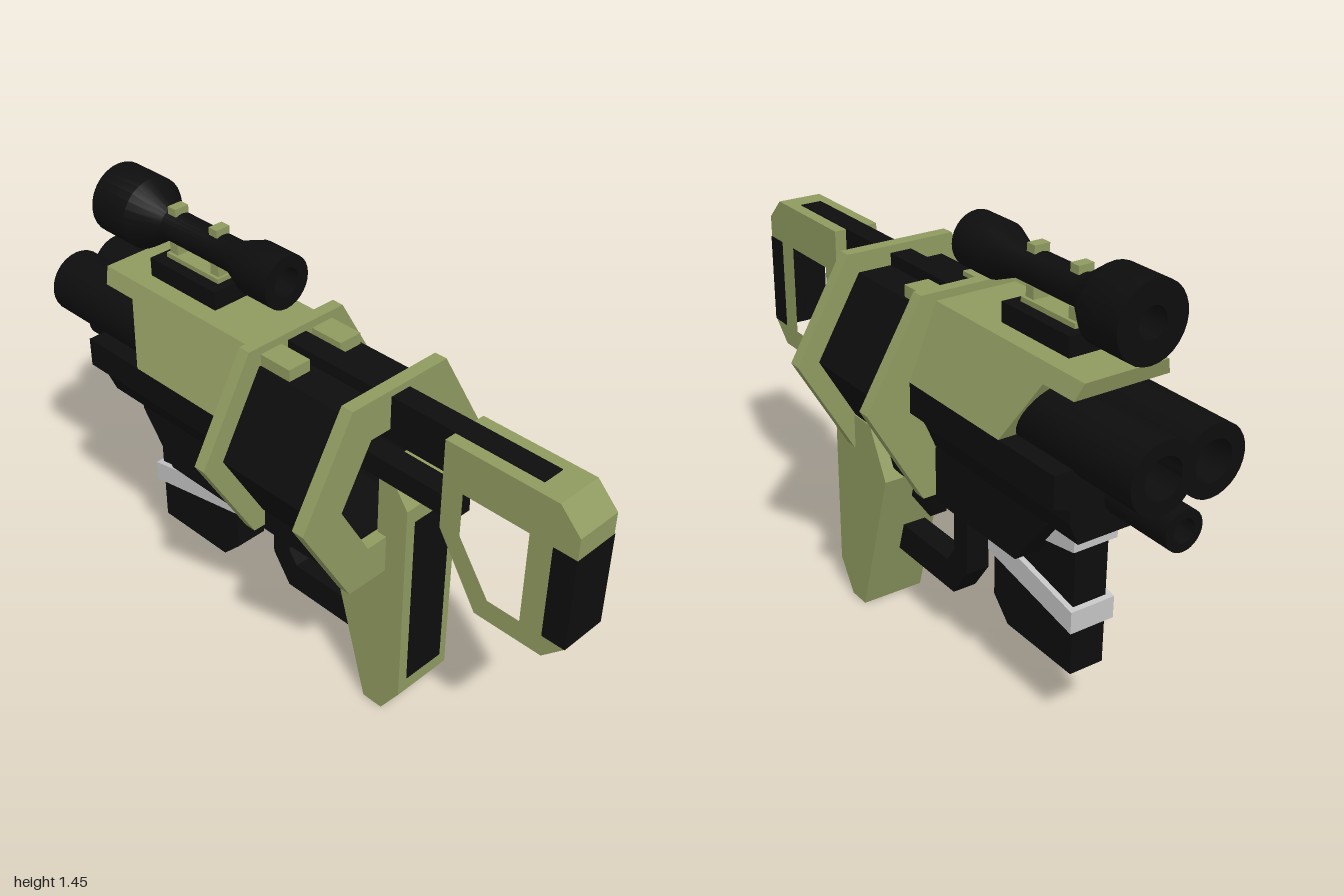
import * as THREE from 'three';
import { toCreasedNormals } from 'three/addons/utils/BufferGeometryUtils.js';

export function createModel() {
  const model = new THREE.Group();
  const material = (name, color) => {
    const m = new THREE.MeshStandardMaterial({ color });
    m.name = name;
    return m;
  };
  const olive = material('olive', 0x8f9a60);
  const black = material('black', 0x0d0d0d);
  const silver = material('silver', 0xc4c4c4);

  const add = (name, geometry, mat) => {
    const mesh = new THREE.Mesh(geometry, mat);
    mesh.name = name;
    model.add(mesh);
    return mesh;
  };
  // Box given by its lower and upper limits on each axis
  const box = (name, mat, x0, x1, y0, y1, z0, z1) =>
    add(name, new THREE.BoxGeometry(x1 - x0, y1 - y0, z1 - z0)
      .translate((x0 + x1) / 2, (y0 + y1) / 2, (z0 + z1) / 2), mat);

  const extrude = (points, depth, hole) => {
    const toVec = (list) => list.map(([a, b]) => new THREE.Vector2(a, b));
    const shape = new THREE.Shape(toVec(points));
    if (hole) shape.holes.push(new THREE.Path(toVec(hole)));
    return new THREE.ExtrudeGeometry(shape, { depth, bevelEnabled: false });
  };
  // Side outline in [z, y], extruded from x0 to x1
  const sideShape = (points, x0, x1, hole) => {
    const flip = (list) => list && list.map(([z, y]) => [-z, y]);
    return extrude(flip(points), x1 - x0, flip(hole)).rotateY(Math.PI / 2).translate(x0, 0, 0);
  };
  // Closed tube wall turned around the z axis, profile in [radius, z]
  const turned = (points, x, y) => {
    const pts = points.map(([r, z]) => new THREE.Vector2(r, z));
    const g = new THREE.LatheGeometry(pts, 28).rotateX(Math.PI / 2).translate(x, y, 0);
    return toCreasedNormals(g, 0.6);
  };
  const hexagon = (r) => Array.from({ length: 6 }, (_, i) =>
    [r * Math.cos(i * Math.PI / 3), 0.887 + r * Math.sin(i * Math.PI / 3)]);

  // Shoulder stock with its pad and inlays
  add('stock', sideShape(
    [[1, 0.74], [1, 1.11], [0.93, 1.18], [0.56, 1.18], [0.56, 0.89], [0.7, 0.67], [0.93, 0.67]],
    -0.075, 0.075,
    [[0.85, 1.04], [0.63, 1.04], [0.63, 0.9], [0.74, 0.74], [0.85, 0.74]]), olive);
  box('stockPad', black, -0.077, 0.077, 0.74, 1.04, 0.925, 1.001);
  box('stockInnerInlay', black, -0.04, 0.04, 0.78, 1.0, 0.847, 0.852);
  box('stockTopInlay', black, -0.036, 0.036, 1.175, 1.183, 0.33, 0.85);
  box('upperBar', black, -0.036, 0.036, 1.04, 1.181, -0.1, 0.56);
  box('lowerBar', black, -0.036, 0.036, 0.89, 0.96, 0.1, 0.57);

  // Hollow six-sided drum between two flanges
  for (const [name, z0, z1, r, mat] of [
    ['rearFlange', 0.293, 0.335, 0.367, olive],
    ['drum', -0.066, 0.294, 0.295, black],
    ['frontFlange', -0.105, -0.065, 0.367, olive],
  ]) add(name, extrude(hexagon(r), z1 - z0, hexagon(0.22)).translate(0, 0, z0), mat);

  // Top cover, narrowing upward
  const cover = sideShape(
    [[-0.1, 0.955], [-0.1, 1.18], [-0.76, 1.18], [-0.745, 1.13], [-0.62, 1.13], [-0.53, 0.955]], -1, 1);
  const p = cover.attributes.position;
  for (let i = 0; i < p.count; i++) {
    p.setX(i, p.getX(i) * (0.225 - 0.4 * (p.getY(i) - 0.955)));
  }
  cover.computeVertexNormals();
  add('topCover', cover, olive);
  for (const s of [-1, 1]) {
    const x = s * 0.1;
    box('coverTab', olive, x - 0.04, x + 0.04, 1.13, 1.18, -0.1, 0.05);
  }

  // Front housing and lower receiver
  const half = [[0.14, 0.73], [0.17, 0.8], [0.17, 0.84], [0.225, 0.86], [0.225, 0.955]];
  const housing = [...half, ...half.map(([x, y]) => [-x, y]).reverse()];
  add('frontHousing', extrude(housing, 0.665).translate(0, 0, -0.766), black);
  add('lowerReceiver', sideShape(
    [[0.29, 0.68], [0.25, 0.56], [0.1, 0.55], [-0.5, 0.55], [-0.63, 0.72], [-0.63, 0.76], [0.29, 0.7]],
    -0.14, 0.14), black);

  // Two large barrels over a small one
  const barrel = (name, x, y, r, bore) => add(name, turned(
    [[0, -0.9], [bore, -0.9], [bore, -1], [r, -1], [r, -0.5], [0, -0.5]], x, y), black);
  barrel('upperBarrel', 0.08, 1.01, 0.103, 0.06);
  barrel('upperBarrel', -0.08, 1.01, 0.103, 0.06);
  barrel('lowerBarrel', 0, 0.84, 0.06, 0.035);

  // Pistol grip with a rear panel, set off to one side
  add('grip', sideShape(
    [[0.41, 0.105], [0.34, 0], [0.265, 0], [0.115, 0.52], [0.2, 0.68], [0.3, 0.68],
      [0.3, 0.93], [0.337, 0.93], [0.41, 0.83]], -0.035, 0.18), olive);
  box('gripPanel', black, 0, 0.15, 0.155, 0.775, 0.406, 0.413);

  // Trigger and its guard
  add('triggerGuard', sideShape(
    [[-0.11, 0.58], [-0.18, 0.58], [-0.18, 0.31], [-0.11, 0.21], [0.22, 0.21], [0.2, 0.31],
      [-0.075, 0.31], [-0.11, 0.36]], 0, 0.08), black);
  add('trigger', sideShape([[0.13, 0.56], [0, 0.56], [0.035, 0.405], [0.14, 0.43]], 0.01, 0.07), black);

  // Magazine with two silver bands
  add('magazine', sideShape(
    [[-0.29, 0.6], [-0.29, 0.295], [-0.36, 0.225], [-0.657, 0.225], [-0.657, 0.75], [-0.5, 0.75]],
    -0.057, 0.057), black);
  add('lowerBand', sideShape([[-0.28, 0.525], [-0.28, 0.45], [-0.673, 0.375], [-0.673, 0.445]],
    -0.075, 0.075), silver);
  add('upperBand', sideShape([[-0.53, 0.61], [-0.62, 0.7], [-0.673, 0.715], [-0.673, 0.635]],
    -0.075, 0.075), silver);

  // Open-ended scope on its rail
  add('scope', turned(
    [[0.045, -0.84], [0.113, -0.84], [0.113, -0.69], [0.05, -0.595], [0.05, -0.31],
      [0.083, -0.225], [0.083, -0.105], [0.045, -0.105], [0.045, -0.84]], 0, 1.335), black);
  box('scopeRail', black, -0.075, 0.075, 1.175, 1.24, -0.62, -0.33);
  box('scopeBase', olive, -0.035, 0.035, 1.235, 1.255, -0.59, -0.36);
  for (const z of [-0.385, -0.567]) {
    box('scopePost', olive, -0.025, 0.025, 1.25, 1.29, z - 0.017, z + 0.017);
    box('scopeClamp', olive, -0.025, 0.025, 1.381, 1.405, z - 0.017, z + 0.017);
  }
  return model;
}
